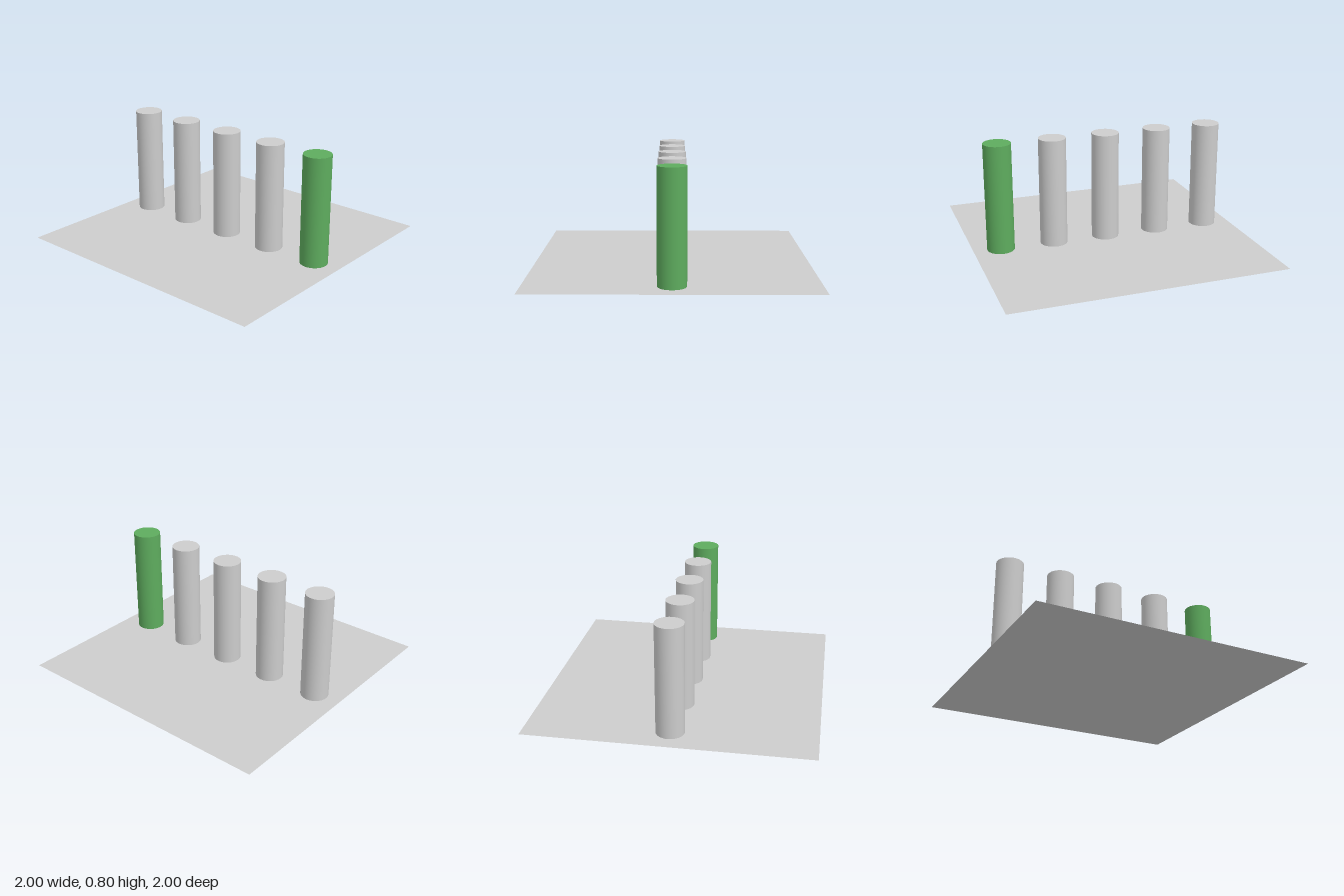
import * as THREE from 'three';

export function createModel() {
  const model = new THREE.Group();
  model.name = 'pillarRow';

  const grey = new THREE.MeshStandardMaterial({ color: 0xcccccc, side: THREE.DoubleSide });
  grey.name = 'light grey';
  const green = new THREE.MeshStandardMaterial({ color: 0x5eac5e });
  green.name = 'green';

  // Flat square floor, visible from both sides
  const floor = new THREE.Mesh(new THREE.PlaneGeometry(2, 2), grey);
  floor.name = 'floor';
  floor.rotation.x = -Math.PI / 2;
  model.add(floor);

  // Five evenly spaced pillars, the last one green; bases sit a hair above the floor
  const base = 0.001, top = 0.8, count = 5;
  const pillarGeometry = new THREE.CylinderGeometry(0.1, 0.1, top - base, 32);
  for (let i = 0; i < count; i++) {
    const isLast = i === count - 1;
    const pillar = new THREE.Mesh(pillarGeometry, isLast ? green : grey);
    pillar.name = isLast ? 'greenPillar' : `greyPillar${i + 1}`;
    pillar.position.set(-0.8 + i * 0.4, (top + base) / 2, 0);
    model.add(pillar);
  }

  return model;
}
